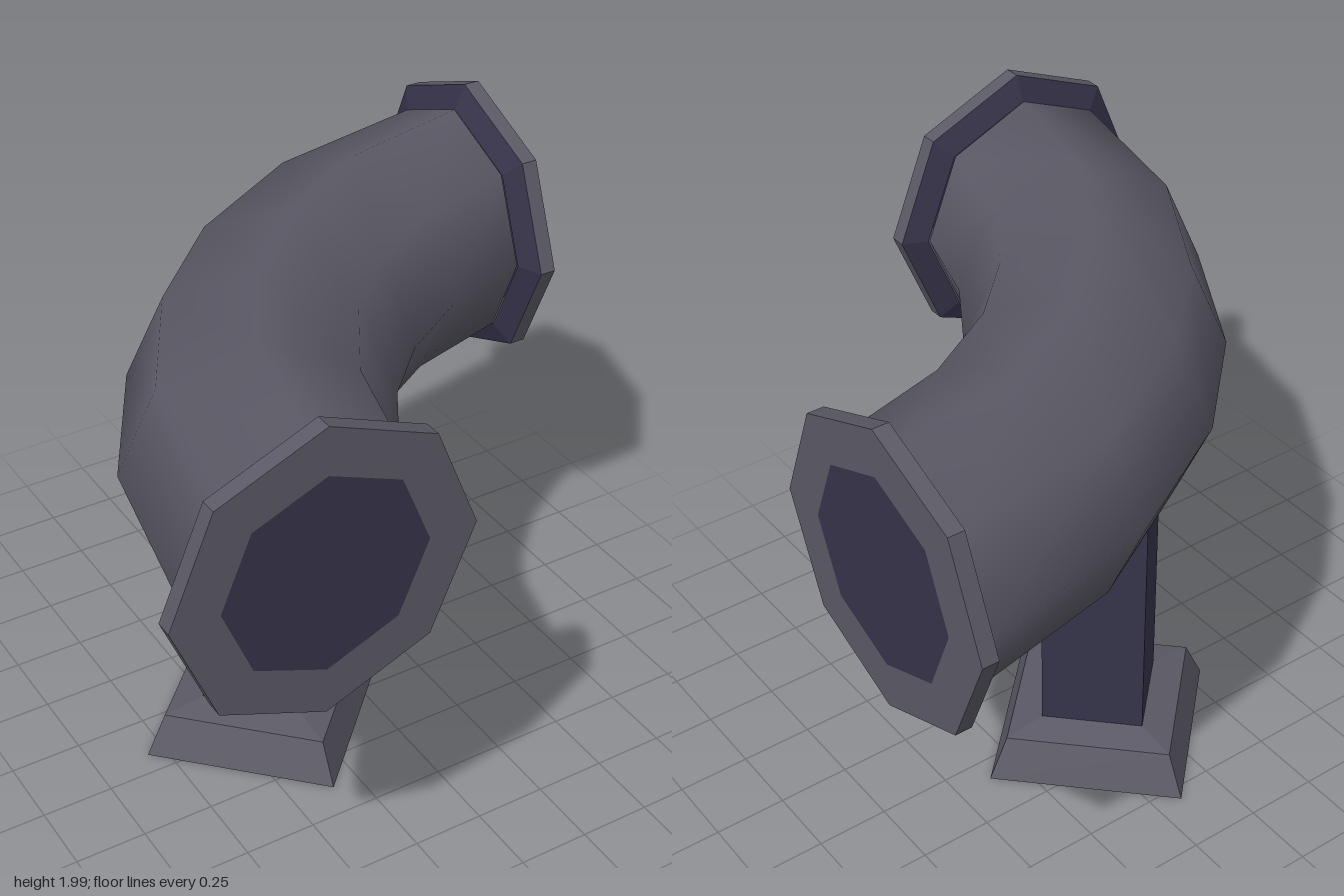
import * as THREE from 'three';

const AXIS_Y = 1.495;
const mat = (color, flatShading = true) => new THREE.MeshStandardMaterial({ color, flatShading, side: THREE.DoubleSide });
const grey = mat(0x5a5864);
const smoothGrey = mat(0x5a5864, false);
const dark = mat(0x36334a);

function part(name, geometry, material, parent) {
  const mesh = new THREE.Mesh(geometry, material);
  mesh.name = name;
  parent.add(mesh);
  return mesh;
}

// Curved pipe: octagonal sections between the outer and inner edge of the bend
function bendGeometry() {
  const half = [
    [[-0.915, 0.91], [-0.11, 0.91]],
    [[-0.79, 0.29], [-0.01, 0.585]],
    [[-0.52, -0.18], [0.145, 0.335]],
  ];
  const swap = ([x, z]) => [z, x];
  const stations = [...half, ...half.slice().reverse().map((s) => s.map(swap))];
  const sides = 8, pos = [], index = [];
  stations.forEach(([o, n], s) => {
    for (let i = 0; i < sides; i++) {
      const a = (i / sides) * Math.PI * 2;
      const t = (1 + Math.cos(a)) / 2;
      pos.push(n[0] + (o[0] - n[0]) * t, AXIS_Y + 0.405 * Math.sin(a), n[1] + (o[1] - n[1]) * t);
      if (s === 0) continue;
      const j = (i + 1) % sides, p = (s - 1) * sides, q = s * sides;
      index.push(p + i, q + i, p + j, p + j, q + i, q + j);
    }
  });
  const g = new THREE.BufferGeometry();
  g.setAttribute('position', new THREE.Float32BufferAttribute(pos, 3));
  g.setIndex(index);
  g.computeVertexNormals();
  return g;
}

// Octagonal end flange with its face at z = 1, looking along +z
function makeFlange(name) {
  const flange = new THREE.Group();
  flange.name = name;
  const band = (r1, r0, z0, z1) =>
    new THREE.CylinderGeometry(r1, r0, z1 - z0, 8, 1, true).rotateX(Math.PI / 2).translate(0, 0, (z0 + z1) / 2);
  part('flangeBevel', band(0.49, 0.405, 0.91, 0.945), dark, flange);
  part('flangeRim', band(0.49, 0.49, 0.945, 1), grey, flange);
  part('flangeFace', new THREE.RingGeometry(0.333, 0.49, 8).translate(0, 0, 1), grey, flange);
  part('flangeOpening', new THREE.CircleGeometry(0.333, 8).translate(0, 0, 1), dark, flange);
  return flange;
}

export function createModel() {
  const model = new THREE.Group();
  model.name = 'pipeElbowOnStand';

  part('bentPipe', bendGeometry(), smoothGrey, model);

  const front = makeFlange('frontFlange');
  front.position.set(-0.51, AXIS_Y, 0);
  const side = makeFlange('leftFlange');
  side.position.set(0, AXIS_Y, -0.51);
  side.rotation.y = Math.PI / 2;
  model.add(front, side);

  // Stand: hollow square post on an open-bottomed foot, both turned corner-on
  const stand = new THREE.Group();
  stand.name = 'stand';
  stand.position.set(-0.097, 0, -0.085);
  model.add(stand);
  const square = (rTop, rBottom, y0, y1) =>
    new THREE.CylinderGeometry(rTop, rBottom, y1 - y0, 4, 1, true).translate(0, (y0 + y1) / 2, 0);
  part('post', square(0.245, 0.245, 0.17, 1.22), dark, stand);
  part('footTop', square(0.245, 0.395, 0.15, 0.17), grey, stand);
  part('footSkirt', square(0.395, 0.467, 0, 0.15), grey, stand);

  return model;
}
